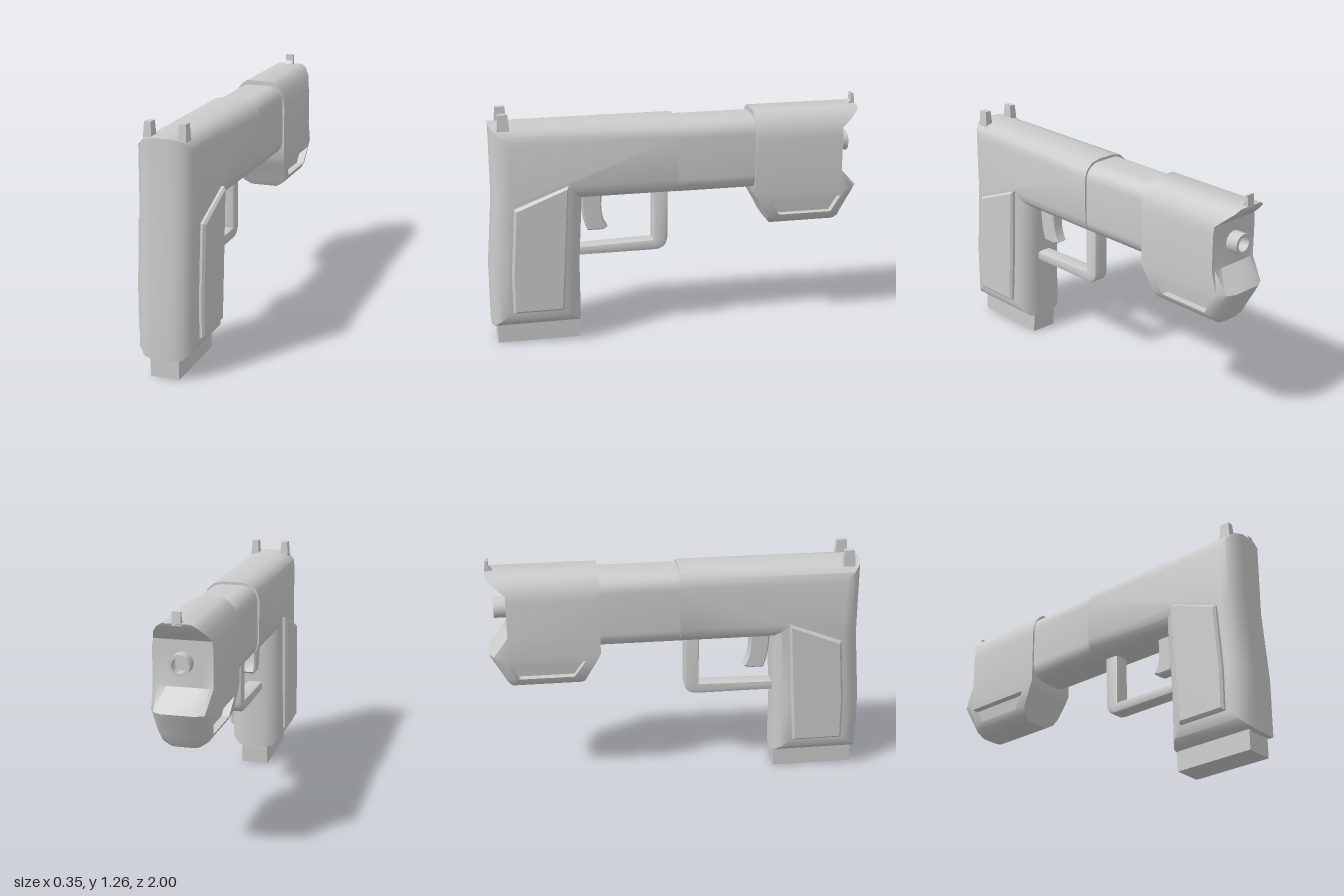
import * as THREE from 'three';
import { toCreasedNormals } from 'three/addons/utils/BufferGeometryUtils.js';

const material = new THREE.MeshStandardMaterial({ color: 0xcccccc });
const CREASE = 0.65;

function add(parent, name, geometry) {
  const mesh = new THREE.Mesh(geometry, material);
  mesh.name = name;
  parent.add(mesh);
  return mesh;
}

// Shape from [z, y] points
const outline = (points) => new THREE.Shape(points.map(([z, y]) => new THREE.Vector2(z, y)));

// Side profile extruded across x, rounded inside its outline
function sideExtrude(shape, halfWidth, inset = 0, depth = inset, segments = 3) {
  const length = 2 * (halfWidth - depth);
  const g = new THREE.ExtrudeGeometry(shape, {
    depth: length, bevelEnabled: inset > 0, bevelSize: inset, bevelOffset: -inset,
    bevelThickness: depth, bevelSegments: segments, curveSegments: 6,
  });
  return g.translate(0, 0, -length / 2).rotateY(-Math.PI / 2);
}

// Quads given by their corners, counter-clockwise from outside
function quadGeometry(quads) {
  const p = [];
  for (const [a, b, c, d] of quads) p.push(...a, ...b, ...c, ...a, ...c, ...d);
  const g = new THREE.BufferGeometry();
  g.setAttribute('position', new THREE.Float32BufferAttribute(p, 3));
  return toCreasedNormals(g, CREASE);
}

// Horizontal rings stacked in y, with a recessed slot on both sides
function muzzleHousing() {
  // y, half width, front z, back z, front corner rounding
  const rows = [
    [0.58, 0.075, -0.9, -0.52, 0.02],
    [0.605, 0.115, -0.915, -0.505, 0.04],
    [0.64, 0.135, -0.93, -0.49, 0.06],
    [0.73, 0.147, -0.98, -0.44, 0.07],
    [0.77, 0.15, -1, -0.42, 0.07],
    [0.88, 0.15, -0.9, -0.42, 0],
    [1.07, 0.15, -0.9, -0.42, 0],
    [1.11, 0.144, -0.9, -0.42, 0],
    [1.15, 0.13, -0.945, -0.42, 0],
    [1.19, 0.1, -0.99, -0.42, 0],
    [1.21, 0.07, -1, -0.42, 0],
  ];
  const slotRow = 2;
  const rings = rows.map(([y, w, f, b, r]) => {
    const t = THREE.MathUtils.clamp((y - 0.64) / 0.09, 0, 1);
    const slotFront = -0.85 - 0.05 * t, slotBack = -0.56 + 0.06 * t;
    const half = [[w, b], [w, slotBack], [w, slotFront], [w, f + r], [w * 0.85, f + r * 0.35], [w * 0.55, f]];
    const other = half.map(([x, z]) => [-x, z]).reverse();
    return [...half, ...other].map(([x, z]) => [x, y, z]);
  });
  const n = rings[0].length;
  const quads = [];
  const inward = ([x, y, z]) => [x - Math.sign(x) * 0.04, y, z];
  for (let i = 0; i < rings.length - 1; i++) {
    for (let j = 0; j < n; j++) {
      const k = (j + 1) % n;
      const q = [rings[i][j], rings[i][k], rings[i + 1][k], rings[i + 1][j]];
      if (i === slotRow && (j === 1 || j === n - 3)) {
        const inner = q.map(inward);
        quads.push(inner);
        for (let e = 0; e < 4; e++) {
          const m = (e + 1) % 4;
          quads.push([q[e], q[m], inner[m], inner[e]]);
        }
      } else quads.push(q);
    }
  }
  // Bottom and top closed in strips between mirrored points
  const bottom = rings[0], top = rings[rings.length - 1];
  for (let j = 0; j < n / 2 - 1; j++) {
    quads.push([top[j], top[j + 1], top[n - 2 - j], top[n - 1 - j]]);
    quads.push([bottom[n - 1 - j], bottom[n - 2 - j], bottom[j + 1], bottom[j]]);
  }
  return quadGeometry(quads);
}

export function createModel() {
  const model = new THREE.Group();
  model.name = 'pistol';

  // Slide and grip in one rounded body, cut flat at z = 0
  const body = sideExtrude(outline([
    [0.97, 1.2], [-0.1, 1.2], [-0.1, 0.79], [0.5, 0.79], [0.52, 0.42],
    [0.52, 0.1], [1, 0.1], [1, 0.42], [0.97, 0.8],
  ]), 0.15, 0.09, 0.1);
  const pos = body.attributes.position;
  for (let i = 0; i < pos.count; i++) pos.setZ(i, Math.max(0, pos.getZ(i)));
  add(model, 'body', toCreasedNormals(body, CREASE));

  // Barrel shroud with a rounded section
  const w = 0.14, y0 = 0.79, y1 = 1.185, r = 0.085;
  const section = new THREE.Shape();
  section.absarc(w - r, y1 - r, r, 0, Math.PI / 2);
  section.absarc(r - w, y1 - r, r, Math.PI / 2, Math.PI);
  section.absarc(r - w, y0 + r, r, Math.PI, Math.PI * 1.5);
  section.absarc(w - r, y0 + r, r, Math.PI * 1.5, Math.PI * 2);
  const shroud = new THREE.ExtrudeGeometry(section, { depth: 0.44, bevelEnabled: false, curveSegments: 4 });
  add(model, 'barrelShroud', toCreasedNormals(shroud.translate(0, 0, -0.43), CREASE));

  add(model, 'muzzleHousing', muzzleHousing());

  // Hollow barrel tip
  const tip = new THREE.LatheGeometry([
    [0.055, -0.03], [0.055, 0.07], [0.038, 0.07], [0.038, 0.01], [0, 0.01],
  ].map(([x, y]) => new THREE.Vector2(x, y)), 12);
  tip.rotateX(-Math.PI / 2).translate(0, 1, -0.895);
  add(model, 'barrelTip', toCreasedNormals(tip, CREASE));

  // Grip panels
  const panelShape = outline([
    [0.58, 0.885], [0.865, 0.775], [0.89, 0.42], [0.89, 0.2], [0.62, 0.2], [0.605, 0.42],
  ]);
  for (const side of [-1, 1]) {
    const panel = toCreasedNormals(sideExtrude(panelShape, 0.04, 0.012, 0.012, 1), 0.4);
    add(model, side > 0 ? 'leftGripPanel' : 'rightGripPanel', panel).position.x = side * 0.135;
  }

  // Magazine base
  add(model, 'magazine', sideExtrude(outline([
    [0.97, 0], [0.97, 0.14], [0.53, 0.14], [0.53, 0.085], [0.535, 0],
  ]), 0.075));

  // Trigger guard
  const guard = new THREE.Shape();
  guard.moveTo(0.56, 0.455);
  guard.lineTo(0.1, 0.455);
  guard.quadraticCurveTo(0.035, 0.46, 0.035, 0.53);
  guard.lineTo(0.035, 0.83);
  guard.lineTo(0.115, 0.83);
  guard.lineTo(0.115, 0.515);
  guard.lineTo(0.56, 0.505);
  add(model, 'triggerGuard', toCreasedNormals(sideExtrude(guard, 0.045, 0.014, 0.014, 2), CREASE));

  // Trigger
  const trigger = new THREE.Shape();
  trigger.moveTo(0.5, 0.82);
  trigger.lineTo(0.385, 0.82);
  trigger.quadraticCurveTo(0.41, 0.67, 0.36, 0.605);
  trigger.lineTo(0.385, 0.59);
  trigger.lineTo(0.47, 0.59);
  trigger.quadraticCurveTo(0.505, 0.68, 0.5, 0.82);
  add(model, 'trigger', toCreasedNormals(sideExtrude(trigger, 0.035, 0.008, 0.008, 1), CREASE));

  // Sights: tapered rear posts and a thin front blade
  for (const side of [-1, 1]) {
    const post = new THREE.CylinderGeometry(0.022, 0.029, 0.095, 4, 1).rotateY(Math.PI / 4).toNonIndexed();
    post.scale(1.08, 1, 1.6);
    post.computeVertexNormals();
    add(model, side > 0 ? 'leftRearSight' : 'rightRearSight', post).position.set(side * 0.088, 1.2175, 0.9);
  }
  add(model, 'frontSight', sideExtrude(outline([
    [-0.955, 1.2], [-1, 1.2], [-0.993, 1.265], [-0.98, 1.265], [-0.978, 1.23],
  ]), 0.022));

  return model;
}
